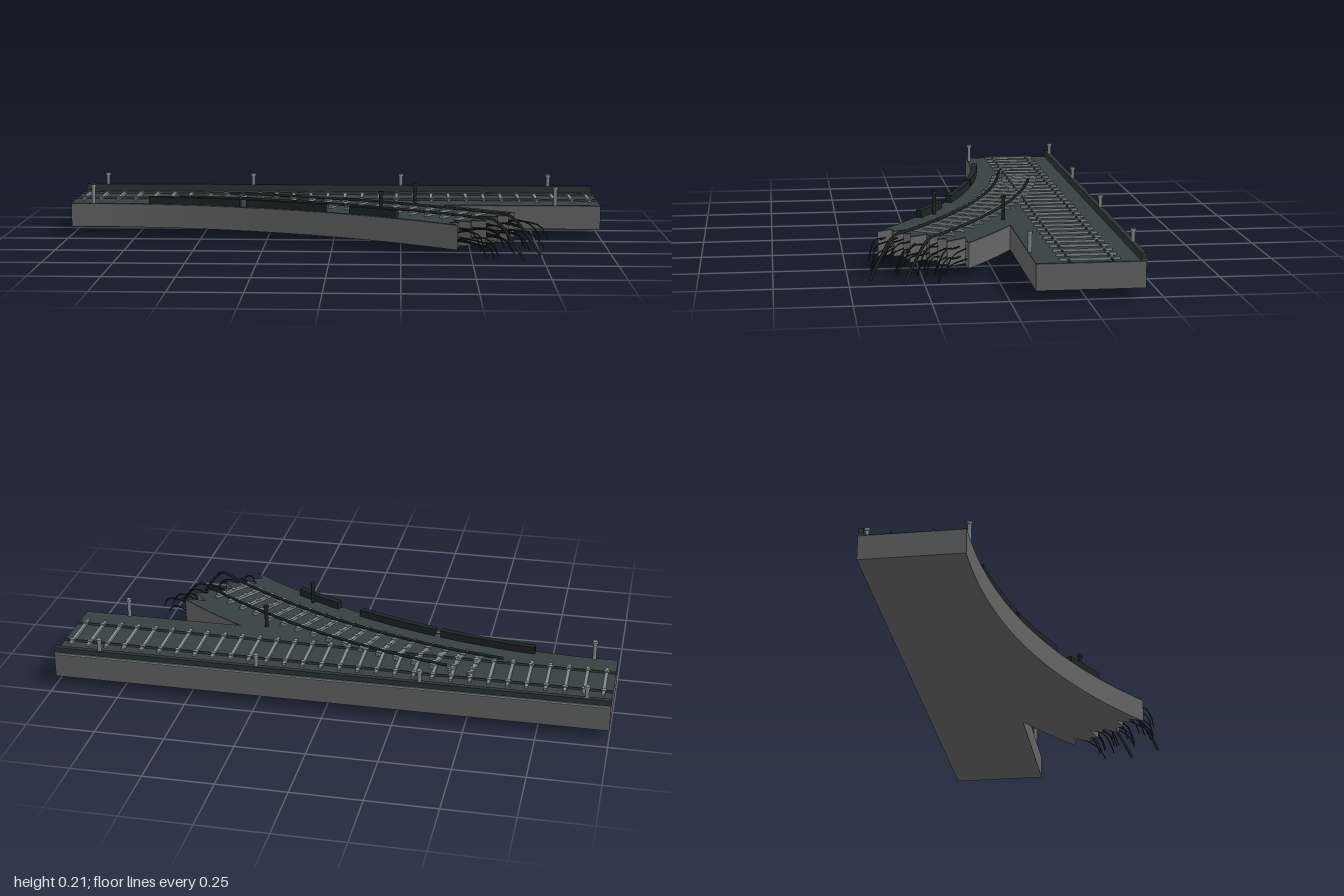
import * as THREE from 'three';

const mat = (name, color, side = THREE.FrontSide) => {
  const m = new THREE.MeshStandardMaterial({ color, side });
  m.name = name;
  return m;
};

// Centre of the branch curve, its edge radii and the main deck edges
const CX = -0.95, CZ = 2.237, R_OUT = 2.32, R_IN = 2.684, R_MID = 2.5;
const Z_BACK = -0.442, Z_FRONT = -0.083;
const BOTTOM = 0.035, TOP = 0.125;
const rad = THREE.MathUtils.degToRad;

// Point on the branch curve at radius r and heading deg
const onCurve = (r, deg, y = 0) =>
  new THREE.Vector3(CX + r * Math.sin(rad(deg)), y, CZ - r * Math.cos(rad(deg)));

function arc(r, from, to, steps) {
  const pts = [];
  for (let i = 0; i <= steps; i++) pts.push(onCurve(r, from + (to - from) * i / steps));
  return pts;
}

// Extrude a plan outline (x, z) upward from y0 to y1
function slab(points, y0, y1) {
  const shape = new THREE.Shape(points.map(p => new THREE.Vector2(p.x, -p.z)));
  const g = new THREE.ExtrudeGeometry(shape, { depth: y1 - y0, bevelEnabled: false });
  return g.rotateX(-Math.PI / 2).translate(0, y0, 0);
}

function seeded(seed) {
  return () => (seed = (seed * 16807) % 2147483647) / 2147483647;
}

export function createModel() {
  const model = new THREE.Group();
  const concrete = mat('concrete', 0x646464);
  const paving = mat('paving', 0x374040);
  const steel = mat('pale steel', 0x7f8c8a);
  const dark = mat('dark steel', 0x1f2323);
  const parapetMat = mat('parapet', 0x2c3333);

  const add = (name, geo, material, parent = model) => {
    const m = new THREE.Mesh(geo, material);
    m.name = name;
    parent.add(m);
    return m;
  };
  const group = name => {
    const g = new THREE.Group();
    g.name = name;
    model.add(g);
    return g;
  };
  const box = (name, size, pos, material, parent) => {
    const m = add(name, new THREE.BoxGeometry(...size), material, parent);
    m.position.set(...pos);
    return m;
  };

  // Deck outline: straight bridge joined to a curved branch with a broken end
  const v = (x, z) => new THREE.Vector3(x, 0, z);
  const breakOffsets = [-1.2, -0.6, -1.7, -0.2, -0.5, 0.6, -1, -0.5, -1.6, 0.2, -0.3, 0.5, -1.3, -0.4];
  const brokenEdge = breakOffsets.map((o, i) =>
    onCurve(R_OUT + (R_IN - R_OUT) * (i + 1) / (breakOffsets.length + 1), 37 + o));
  const junction = THREE.MathUtils.radToDeg(Math.acos((CZ - Z_FRONT) / R_IN));
  const outline = [
    v(-1, Z_BACK), v(-1, Z_FRONT),
    ...arc(R_OUT, 0, 37.1, 28), ...brokenEdge, ...arc(R_IN, 37, junction, 6),
    v(1, Z_FRONT), v(1, Z_BACK),
  ];
  add('bridgeBody', slab(outline, BOTTOM, TOP - 0.004), concrete);
  add('deckSurface', slab(outline, TOP - 0.004, TOP), paving);

  // Back parapet with a pale edge strip
  box('backParapet', [2, 0.026, 0.018], [0, TOP + 0.013, Z_BACK + 0.009], parapetMat);
  box('backEdgeStrip', [2, 0.006, 0.004], [0, TOP + 0.003, Z_BACK - 0.001], steel);

  // Surviving parapet pieces along the curve
  for (const [from, to] of [[6.1, 14.9], [15.5, 23.3], [25.8, 30.5]]) {
    const plan = [...arc(2.324, from, to, 6), ...arc(2.346, to, from, 6)];
    add('curveParapet', slab(plan, TOP, 0.152), dark);
  }

  // Straight track
  const mainTrack = group('mainTrack');
  for (let i = 0; i < 30; i++) {
    const x = -0.967 + i * 0.0667;
    box('tie', [0.012, 0.008, 0.2], [x, TOP + 0.004, -0.262], steel, mainTrack);
    for (const z of [-0.333, -0.192])
      box('fastener', [0.018, 0.004, 0.014], [x, TOP + 0.009, z], steel, mainTrack);
  }
  for (const z of [-0.333, -0.192])
    box('rail', [2, 0.008, 0.005], [0, TOP + 0.005, z], paving, mainTrack);

  // Curved track: ties follow the heading
  const branchTrack = group('branchTrack');
  for (let d = 10.2; d < 36.2; d += 1.58) {
    const tie = new THREE.Group();
    tie.name = 'branchTie';
    tie.position.copy(onCurve(R_MID, d, TOP));
    tie.rotation.y = -rad(d);
    branchTrack.add(tie);
    box('tie', [0.013, 0.009, 0.18], [0, 0.0045, 0], steel, tie);
    for (const z of [-0.075, -0.045, 0, 0.045, 0.075])
      box('fastener', [0.021, 0.004, 0.012], [0, 0.01, z], steel, tie);
  }

  // Branch rails sag past the broken end
  for (const [r, start, bend] of [[2.437, 8.3, 38.7], [2.562, 12.2, 38.1]]) {
    const pts = arc(r, start, bend, 24).map(p => p.setY(0.138));
    pts.push(onCurve(r, bend + 0.8, 0.122), onCurve(r, bend + 2.2, 0.065), onCurve(r, bend + 3.4, 0.006));
    const curve = new THREE.CatmullRomCurve3(pts);
    add('branchRail', new THREE.TubeGeometry(curve, 70, 0.0055, 5), dark, branchTrack);
  }

  // Bent reinforcing bars at the break
  const rebar = group('rebar');
  const rnd = seeded(71);
  for (const y of [0.1, 0.065]) {
    for (let i = 0; i < 11; i++) {
      const r = R_OUT + 0.02 + i * 0.0325 + (rnd() - 0.5) * 0.015;
      const len = 1.6 + rnd() * 1.7, side = (rnd() - 0.5) * 0.05, drop = 0.02 + rnd() * 0.035;
      const pts = [
        onCurve(r, 34.8, y),
        onCurve(r, 37, y - 0.002),
        onCurve(r + side * 0.5, 37 + len * 0.45, y + (rnd() - 0.6) * 0.02),
        onCurve(r + side, 37 + len * 0.8, y - drop * 0.4),
        onCurve(r + side * 1.1, 37 + len, Math.max(0.012, y - drop - 0.02)),
      ];
      const curve = new THREE.CatmullRomCurve3(pts);
      add('bar', new THREE.TubeGeometry(curve, 12, 0.0028, 4), dark, rebar);
    }
  }

  // Capped posts
  const post = (x, z, height, material) => {
    const g = group('post');
    g.position.set(x, TOP, z);
    const shaft = add('shaft', new THREE.CylinderGeometry(0.007, 0.007, height, 8), material, g);
    shaft.position.y = height / 2;
    const cap = add('cap', new THREE.CylinderGeometry(0.01, 0.01, 0.01, 8), material, g);
    cap.position.y = height - 0.004;
  };
  for (const x of [-0.915, -0.335, 0.25, 0.83]) post(x, -0.432, 0.07, steel);
  for (const x of [-0.915, 0.83]) post(x, -0.088, 0.07, steel);
  post(0.178, 0.165, 0.085, dark);
  post(0.302, -0.071, 0.085, dark);

  return model;
}
